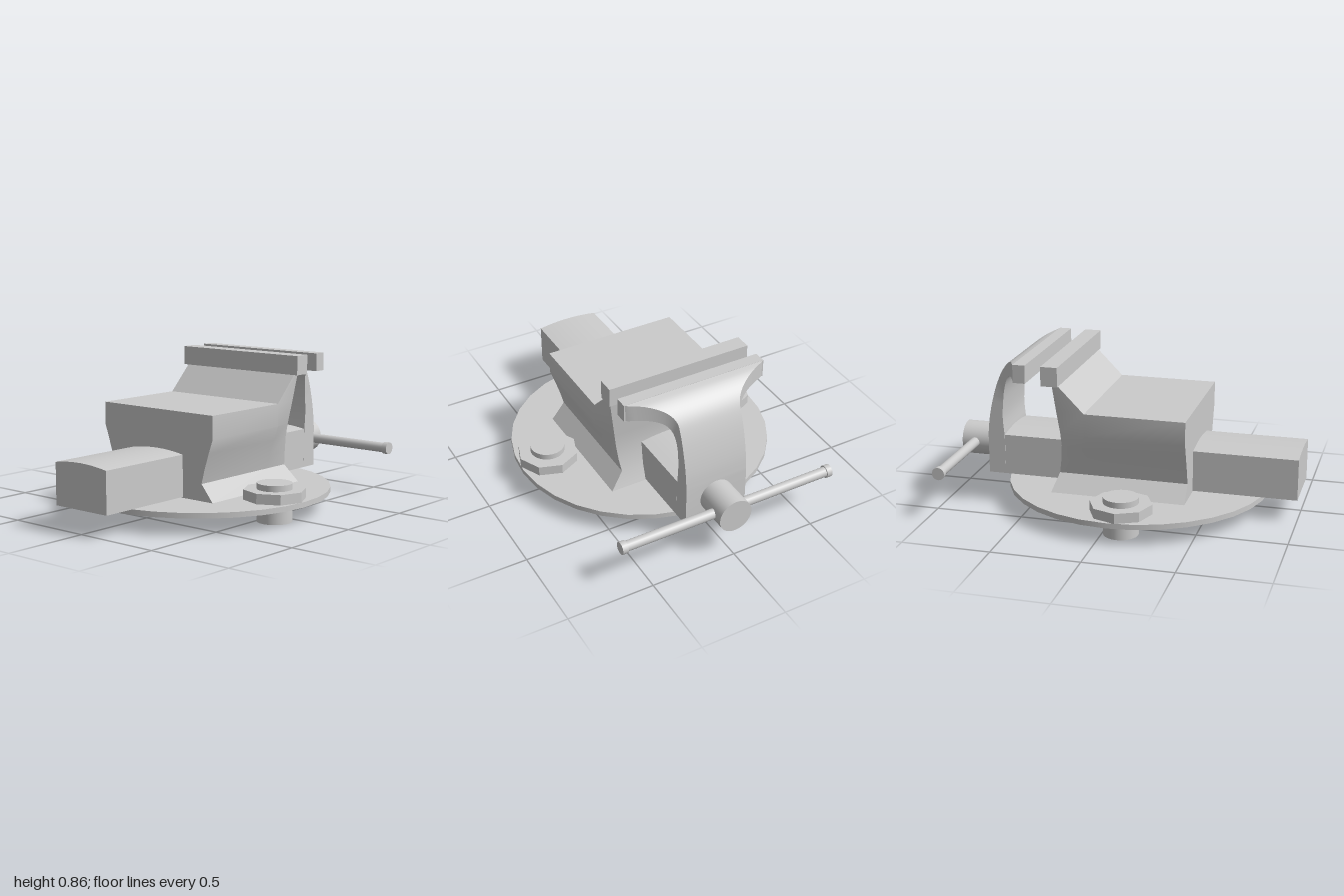
import * as THREE from 'three';
import { toCreasedNormals } from 'three/addons/utils/BufferGeometryUtils.js';

const material = new THREE.MeshStandardMaterial({ color: 0xcccccc });

// Skin over equal-length convex rings (counter-clockwise seen from the end of travel), capped at both ends.
function loft(rings, crease = 0.5) {
  const n = rings[0].length, index = [];
  rings.slice(1).forEach((_, i) => {
    for (let j = 0; j < n; j++) {
      const a = i * n + j, b = i * n + (j + 1) % n;
      index.push(a, b, b + n, a, b + n, a + n);
    }
  });
  const end = (rings.length - 1) * n;
  for (let j = 1; j < n - 1; j++) {
    index.push(0, j + 1, j, end, end + j, end + j + 1);
  }
  const g = new THREE.BufferGeometry();
  g.setAttribute('position', new THREE.Float32BufferAttribute(rings.flat(2), 3));
  g.setIndex(index);
  return toCreasedNormals(g, crease);
}

function add(parent, name, geometry, x = 0, y = 0, z = 0) {
  const mesh = new THREE.Mesh(geometry, material);
  mesh.name = name;
  mesh.position.set(x, y, z);
  parent.add(mesh);
  return mesh;
}

export function createModel() {
  const vise = new THREE.Group();
  vise.name = 'benchVise';

  // Round base plate
  add(vise, 'basePlate', new THREE.CylinderGeometry(0.755, 0.755, 0.03, 32), -0.06, 0.11, 0);

  // Mounting bolts with octagonal nuts
  for (const side of [1, -1]) {
    const bolt = new THREE.Group();
    bolt.name = side > 0 ? 'frontBolt' : 'backBolt';
    bolt.position.set(-0.1, 0, side * 0.58);
    bolt.rotation.y = side > 0 ? 0.06 : Math.PI + 0.06;
    add(bolt, 'shank', new THREE.CylinderGeometry(0.098, 0.098, 0.215, 32), 0, 0.1075, 0);
    const nut = new THREE.CylinderGeometry(0.174, 0.174, 0.057, 8);
    add(bolt, 'nut', toCreasedNormals(nut, 0.3), 0, 0.153, 0);
    vise.add(bolt);
  }

  // Sliding beam with a slightly domed top
  const beam = new THREE.Shape();
  beam.moveTo(-0.187, 0.13);
  beam.lineTo(0.187, 0.13);
  beam.lineTo(0.187, 0.365);
  beam.quadraticCurveTo(0, 0.398, -0.187, 0.365);
  beam.closePath();
  const beamGeometry = new THREE.ExtrudeGeometry(beam, { depth: 1.7, bevelEnabled: false, curveSegments: 8 });
  beamGeometry.rotateY(Math.PI / 2);
  add(vise, 'slidingBeam', toCreasedNormals(beamGeometry, 0.3), -1, 0, 0);

  // Fixed body: y, back x, crease x, front x, side half width, front half width
  const levels = [
    [0.125, -0.41, 0.16, 0.355, 0.4, 0.4],
    [0.22, -0.41, 0.16, 0.325, 0.322, 0.322],
    [0.3, -0.41, 0.16, 0.312, 0.343, 0.335],
    [0.39, -0.41, 0.16, 0.305, 0.372, 0.346],
    [0.47, -0.41, 0.16, 0.31, 0.4, 0.357],
    [0.6, -0.41, 0.16, 0.325, 0.4, 0.377],
    [0.6, 0.159, 0.16, 0.325, 0.4, 0.377],
    [0.752, 0.309, 0.31, 0.34, 0.4, 0.4],
  ];
  add(vise, 'fixedBody', loft(levels.map(([y, xb, xm, xf, w, wf]) => [
    [xf, y, wf], [xf, y, -wf], [xm, y, -w], [xb, y, -w], [xb, y, w], [xm, y, w],
  ]), 0.4));

  // Moving jaw arm: curved upright that flares out towards its jaw plate
  const curve = (points) => new THREE.CatmullRomCurve3(points.map(([x, y]) => new THREE.Vector3(x, y, 0)));
  const outer = curve([[0.8, 0.365], [0.79, 0.46], [0.768, 0.57], [0.735, 0.68], [0.7, 0.755], [0.655, 0.808], [0.6, 0.845], [0.55, 0.86]]);
  const inner = curve([[0.702, 0.365], [0.71, 0.46], [0.706, 0.55], [0.695, 0.63], [0.677, 0.69], [0.65, 0.732], [0.605, 0.755], [0.55, 0.76]]);
  const halfWidth = (x) => 0.187 + 0.24 * THREE.MathUtils.clamp((0.71 - x) / 0.155, 0, 1) ** 1.6;
  const section = (o, i, wo, wi) => [[o.x, o.y, wo], [o.x, o.y, -wo], [i.x, i.y, -wi], [i.x, i.y, wi]];
  const rings = [section({ x: 0.8, y: 0.13 }, { x: 0.7, y: 0.13 }, 0.187, 0.187)];
  for (let k = 0; k <= 28; k++) {
    const o = outer.getPoint(k / 28), i = inner.getPoint(k / 28);
    // The inner edge only flares above the straight upright
    const wi = i.y > 0.58 ? halfWidth(i.x) : 0.187;
    rings.push(section(o, i, halfWidth(o.x), wi));
  }
  add(vise, 'movingJawArm', loft(rings, 0.6));

  // Jaw plates
  add(vise, 'fixedJawPlate', new THREE.BoxGeometry(0.095, 0.11, 0.854), 0.3475, 0.805, 0);
  add(vise, 'movingJawPlate', new THREE.BoxGeometry(0.07, 0.103, 0.854), 0.52, 0.8085, 0);

  // Screw head
  const screw = new THREE.CylinderGeometry(0.098, 0.098, 0.21, 32);
  add(vise, 'screwHead', screw.rotateZ(Math.PI / 2), 0.895, 0.27, 0);

  // Handle bar with end caps
  const handle = new THREE.Group();
  handle.name = 'handle';
  handle.position.set(0.924, 0.27, 0);
  add(handle, 'handleBar', new THREE.CylinderGeometry(0.029, 0.029, 1.26, 20).rotateX(Math.PI / 2));
  for (const side of [1, -1]) {
    add(handle, 'handleCap', new THREE.CylinderGeometry(0.036, 0.036, 0.032, 20).rotateX(Math.PI / 2), 0, 0, side * 0.637);
  }
  vise.add(handle);

  return vise;
}
